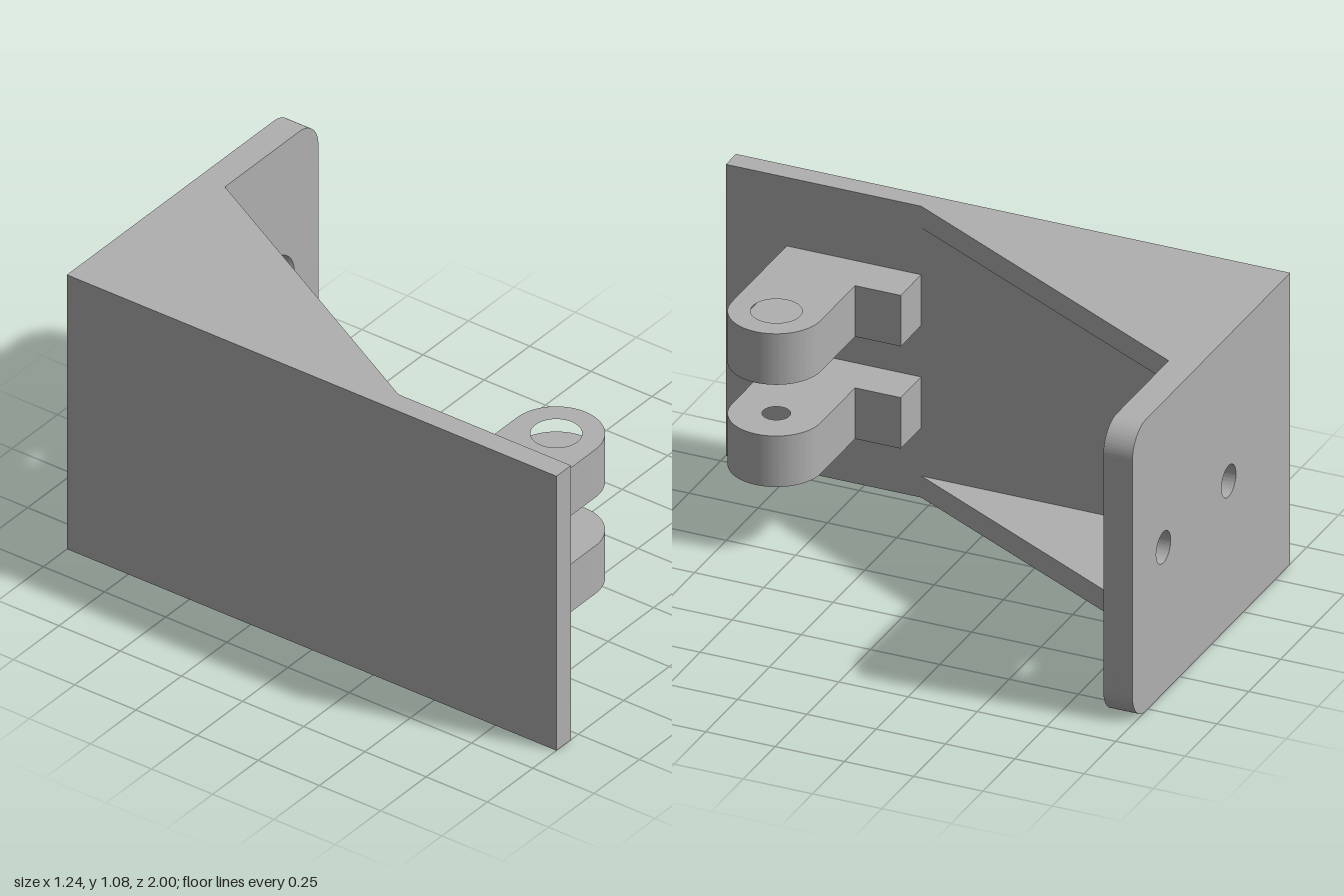
import * as THREE from 'three';
import { toCreasedNormals } from 'three/addons/utils/BufferGeometryUtils.js';

const HEIGHT = 1.08, WALL = 0.08, INNER_X = -0.54, PLATE_FRONT = -0.895;

function circleHole(x, y, r) {
  return new THREE.Path().absarc(x, y, r, 0, Math.PI * 2, true);
}

function extrude(shape, depth) {
  const geo = new THREE.ExtrudeGeometry(shape, { depth, bevelEnabled: false, curveSegments: 32 });
  return toCreasedNormals(geo, 0.5);
}

// Plan outline drawn as (x, -z), raised from y0 to y1
function slab(shape, y0, y1) {
  return extrude(shape, y1 - y0).rotateX(-Math.PI / 2).translate(0, y0, 0);
}

export function createModel() {
  const group = new THREE.Group();
  const grey = new THREE.MeshStandardMaterial({ color: 0xb0b0b0 });
  grey.name = 'plain grey';
  const add = (name, geo) => {
    const mesh = new THREE.Mesh(geo, grey);
    mesh.name = name;
    group.add(mesh);
    return mesh;
  };

  // Long side wall
  const wallLength = 1 - PLATE_FRONT;
  add('sideWall', new THREE.BoxGeometry(WALL, HEIGHT, wallLength)
    .translate(INNER_X - WALL / 2, HEIGHT / 2, PLATE_FRONT + wallLength / 2));

  // Mounting plate in two layers: narrow screw holes behind, countersinks in front
  const screwX = [-0.137, 0.376], screwR = 0.057, sinkR = 0.113, sinkDepth = 0.056;
  const plateShape = (holeR) => {
    const r = 0.105, right = 0.62;
    const s = new THREE.Shape();
    s.moveTo(-0.62, 0);
    s.lineTo(right - r, 0);
    s.absarc(right - r, r, r, -Math.PI / 2, 0, false);
    s.lineTo(right, HEIGHT - r);
    s.absarc(right - r, HEIGHT - r, r, 0, Math.PI / 2, false);
    s.lineTo(-0.62, HEIGHT);
    s.closePath();
    screwX.forEach((x) => s.holes.push(circleHole(x, HEIGHT / 2, holeR)));
    return s;
  };
  const sinkZ = PLATE_FRONT - sinkDepth;
  add('mountingPlateBack', extrude(plateShape(screwR), sinkZ + 1).translate(0, 0, -1));
  add('mountingPlateFront', extrude(plateShape(sinkR), sinkDepth).translate(0, 0, sinkZ));
  for (const x of screwX) {
    const cone = new THREE.LatheGeometry(
      [new THREE.Vector2(sinkR, sinkDepth), new THREE.Vector2(screwR, 0)], 64);
    add('countersink', cone.rotateX(Math.PI / 2).translate(x, HEIGHT / 2, sinkZ));
  }

  // Triangular gussets at top and bottom
  const gusset = new THREE.Shape([
    new THREE.Vector2(INNER_X, -0.295),
    new THREE.Vector2(0.107, -PLATE_FRONT),
    new THREE.Vector2(INNER_X, -PLATE_FRONT),
  ]);
  add('bottomGusset', slab(gusset, 0, WALL));
  add('topGusset', slab(gusset, HEIGHT - WALL, HEIGHT));

  // Hinge lugs with a stepped root and a rounded end
  const lugShape = (holeR) => {
    const cx = -0.11, cz = 0.62, r = 0.16;
    const s = new THREE.Shape();
    s.moveTo(INNER_X, -0.295);
    s.lineTo(-0.38, -0.295);
    s.lineTo(-0.38, -cz + r);
    s.lineTo(cx, -cz + r);
    s.absarc(cx, -cz, r, Math.PI / 2, -Math.PI / 2, true);
    s.lineTo(INNER_X, -cz - r);
    s.closePath();
    s.holes.push(circleHole(cx, -cz, holeR));
    return s;
  };
  add('lowerLug', slab(lugShape(0.047), 0.258, 0.447));
  // Upper lug has a wide counterbore for the pin head
  add('upperLugBase', slab(lugShape(0.047), 0.637, 0.727));
  add('upperLugCounterbore', slab(lugShape(0.085), 0.727, 0.826));

  return group;
}
